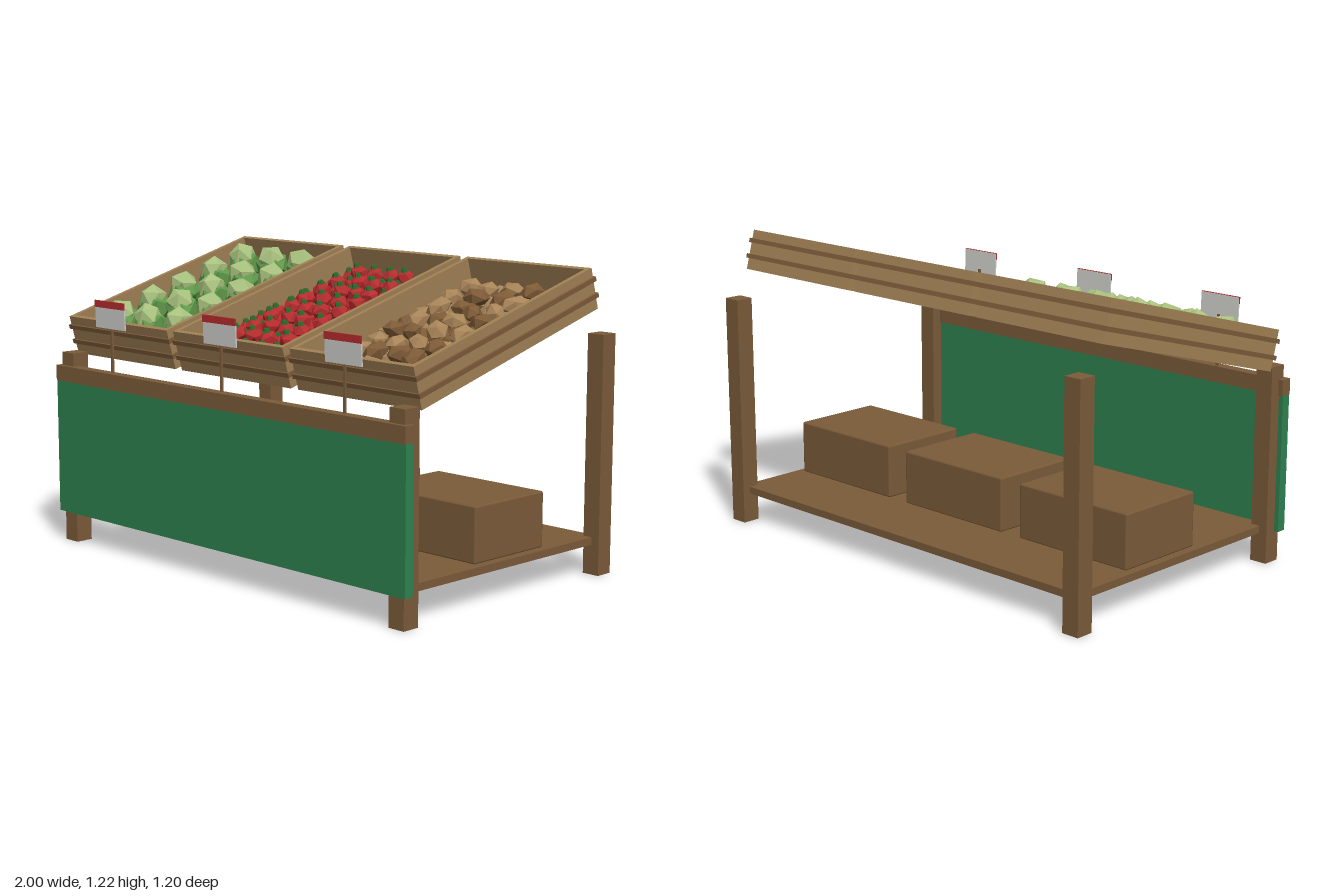
import * as THREE from 'three';
import { RoundedBoxGeometry } from 'three/addons/geometries/RoundedBoxGeometry.js';

const mat = (name, color, flatShading = false) => {
  const m = new THREE.MeshStandardMaterial({ color, flatShading });
  m.name = name;
  return m;
};

export function createModel() {
  const M = {
    timber: mat('dark timber', 0x7b5b39),
    crate: mat('crate wood', 0xa08054),
    cloth: mat('green panel', 0x2f8250),
    sign: mat('sign white', 0xd0d0cc),
    red: mat('tomato red', 0xb82c2e, true),
    stem: mat('stem green', 0x2f6b2c, true),
    leaf: mat('outer leaf green', 0x619c4b, true),
    heart: mat('cabbage heart green', 0xa8c17e, true),
    potato: mat('potato tan', 0xa88458, true),
    earthy: mat('potato brown', 0x7d5a36, true),
  };
  const stall = new THREE.Group();
  stall.name = 'marketStall';

  let seed = 11;
  const rand = () => (seed = (seed * 16807) % 2147483647) / 2147483647;
  const jitter = (a) => (rand() - 0.5) * 2 * a;

  const add = (parent, name, geo, material, x, y, z) => {
    const mesh = new THREE.Mesh(geo, material);
    mesh.name = name;
    mesh.position.set(x, y, z);
    parent.add(mesh);
    return mesh;
  };
  // box given by its lower and upper limits
  const box = (parent, name, m, x0, x1, y0, y1, z0, z1) =>
    add(parent, name, new THREE.BoxGeometry(x1 - x0, y1 - y0, z1 - z0), m,
      (x0 + x1) / 2, (y0 + y1) / 2, (z0 + z1) / 2);

  // Frame: legs, shelf, front panel and rail
  for (const s of [-1, 1]) {
    const x = s * 0.943;
    box(stall, 'frontLeg', M.timber, x - 0.0375, x + 0.0375, 0, 0.8, 0.51, 0.585);
    box(stall, 'backLeg', M.timber, x - 0.0375, x + 0.0375, 0, 0.955, -0.6, -0.525);
  }
  box(stall, 'lowerShelf', M.timber, -0.945, 0.945, 0.12, 0.15, -0.565, 0.55);
  box(stall, 'frontPanel', M.cloth, -1, 1, 0.125, 0.68, 0.56, 0.6);
  box(stall, 'frontRail', M.timber, -1, 1, 0.68, 0.745, 0.555, 0.603);

  // Storage boxes on the shelf
  for (const x of [-0.642, 0, 0.642])
    add(stall, 'storageBox', new RoundedBoxGeometry(0.545, 0.222, 0.395, 1, 0.008), M.timber, x, 0.261, -0.065);

  // Sloping crate: floor, four walls and two projecting bands
  const W = 0.314, L = 0.511, H = 0.165, T = 0.02;
  const makeCrate = (x) => {
    const g = new THREE.Group();
    g.name = 'displayCrate';
    g.position.set(x, 0.9235, 0.0075);
    g.rotation.x = 0.272;
    stall.add(g);
    box(g, 'crateFloor', M.crate, -W + T, W - T, 0.002, 0.025, -L + T, L - T);
    for (const s of [-1, 1]) {
      const side = s * (W - T / 2), end = s * (L - T / 2);
      box(g, 'crateSide', M.crate, side - T / 2, side + T / 2, 0, H, -L, L);
      box(g, 'crateEnd', M.crate, -W + T, W - T, 0, H, end - T / 2, end + T / 2);
      for (const v of [0.055, 0.12]) {
        const bx = s * (W + 0.004), bz = s * (L + 0.003);
        box(g, 'sideBand', M.timber, bx - 0.005, bx + 0.005, v - 0.009, v + 0.009, -L - 0.007, L + 0.007);
        box(g, 'endBand', M.timber, -W, W, v - 0.009, v + 0.009, bz - 0.004, bz + 0.004);
      }
    }
    return g;
  };
  const [cabbageCrate, tomatoCrate, potatoCrate] = [-0.667, 0, 0.667].map(makeCrate);

  // jittered grid of produce inside a crate
  const fill = (cols, rows, halfX, z0, z1, wobble, place) => {
    for (let r = 0; r < rows; r++)
      for (let c = 0; c < cols; c++)
        place(-halfX + (2 * halfX * c) / (cols - 1) + jitter(wobble),
          z0 + ((z1 - z0) * r) / (rows - 1) + jitter(wobble));
  };

  // Cabbages: dark outer leaves with a pale heart rising from them
  const leafGeo = new THREE.IcosahedronGeometry(0.078, 0);
  const heartGeo = new THREE.IcosahedronGeometry(0.064, 0);
  fill(3, 5, 0.182, -0.37, 0.345, 0.002, (x, z) => {
    const spin = rand() * 6;
    const outer = add(cabbageCrate, 'cabbageLeaves', leafGeo, M.leaf, x, 0.092, z);
    outer.rotation.y = spin;
    const heart = add(cabbageCrate, 'cabbageHeart', heartGeo, M.heart, x, 0.126, z);
    heart.rotation.set(0.2, spin + 0.5, 0);
  });

  // Tomatoes in two layers, each with a small green stalk
  const tomatoGeo = new THREE.IcosahedronGeometry(0.04, 0);
  const stalkGeo = new THREE.CylinderGeometry(0.009, 0.016, 0.016, 5);
  const tomato = (v) => (x, z) => {
    const t = add(tomatoCrate, 'tomato', tomatoGeo, M.red, x, v, z);
    t.rotation.set(jitter(0.4), rand() * 6, jitter(0.4));
    t.scale.y = 0.92;
    add(tomatoCrate, 'tomatoStalk', stalkGeo, M.stem, x, v + 0.037, z);
  };
  fill(6, 10, 0.225, -0.4, 0.385, 0.006, tomato(0.07));
  fill(4, 8, 0.14, -0.36, 0.34, 0.012, tomato(0.105));

  // Potatoes: stretched lumps in two tones and two layers
  const potatoGeo = new THREE.IcosahedronGeometry(0.046, 0);
  const potato = (v) => (x, z) => {
    const p = add(potatoCrate, 'potato', potatoGeo, rand() < 0.4 ? M.earthy : M.potato, x, v, z);
    p.scale.set(1.2 + jitter(0.15), 0.85, 0.95 + jitter(0.1));
    p.rotation.set(jitter(0.4), rand() * 6, jitter(0.4));
  };
  fill(6, 9, 0.22, -0.385, 0.37, 0.02, potato(0.068));
  fill(4, 7, 0.15, -0.35, 0.33, 0.025, potato(0.105));

  // Price signs on thin posts
  for (const x of [-0.667, 0, 0.667]) {
    box(stall, 'signPost', M.timber, x - 0.005, x + 0.005, 0.745, 0.955, 0.564, 0.573);
    const sign = new THREE.Group();
    sign.name = 'priceSign';
    sign.position.set(x, 0.98, 0.576);
    sign.rotation.x = 0.04;
    stall.add(sign);
    box(sign, 'signPlate', M.sign, -0.093, 0.093, -0.056, 0.054, -0.003, 0.003);
    box(sign, 'signStripe', M.red, -0.094, 0.094, 0.028, 0.056, -0.001, 0.005);
  }
  return stall;
}
